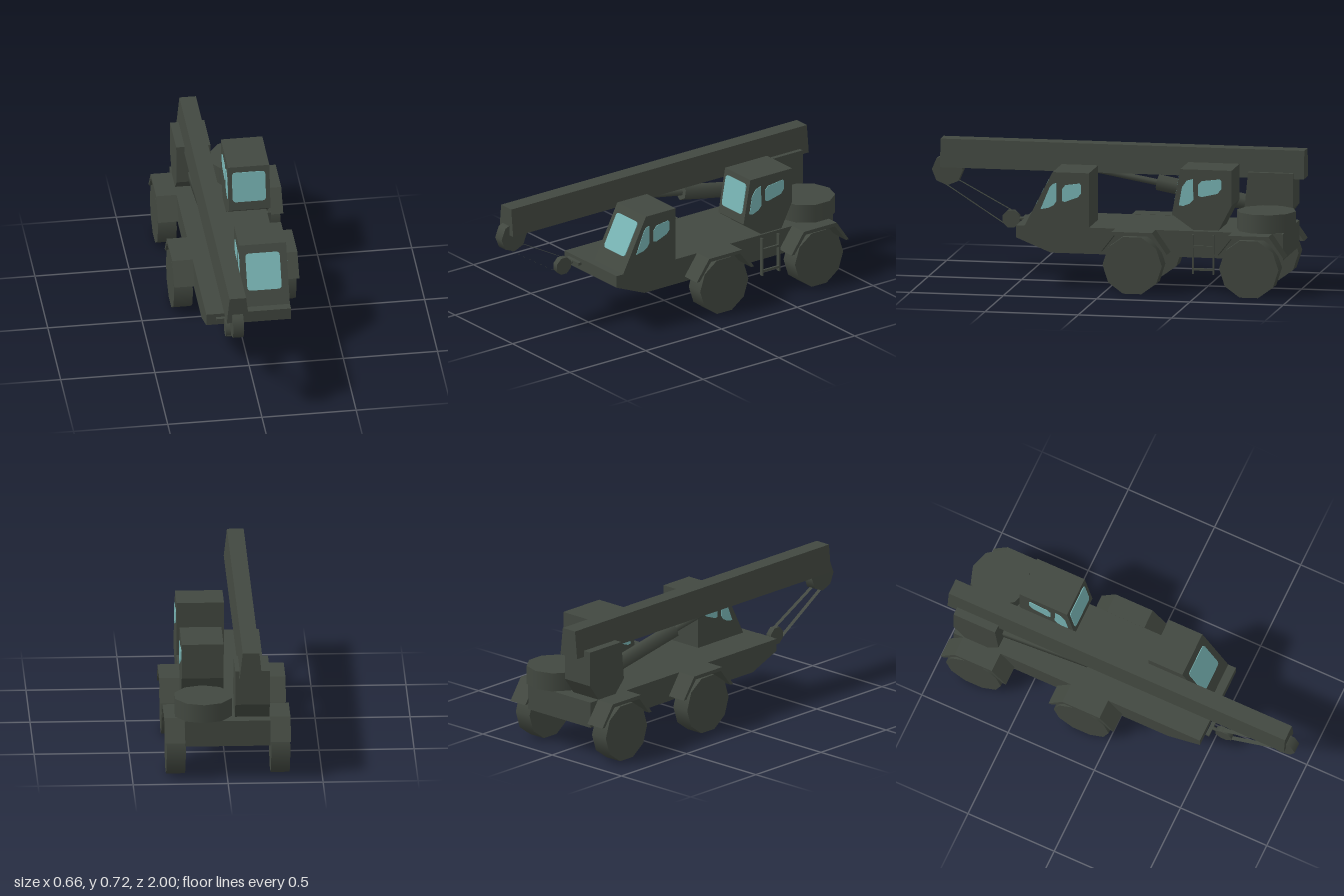
import * as THREE from 'three';

export function createModel() {
  const model = new THREE.Group();
  const paint = new THREE.MeshStandardMaterial({ color: 0x424840 });
  paint.name = 'olivePaint';
  paint.side = THREE.DoubleSide;
  const glass = new THREE.MeshStandardMaterial({ color: 0x78b4b4 });
  glass.name = 'tealGlass';

  function add(name, geometry, material = paint) {
    const mesh = new THREE.Mesh(geometry, material);
    mesh.name = name;
    model.add(mesh);
    return mesh;
  }

  // Side profile of [z, y] points, extruded across x from x0 to x1
  function profile(name, points, x0, x1, material) {
    const shape = new THREE.Shape(points.map(([z, y]) => new THREE.Vector2(z, y)));
    const g = new THREE.ExtrudeGeometry(shape, { depth: x1 - x0, bevelEnabled: false });
    g.rotateY(-Math.PI / 2).translate(x1, 0, 0);
    return add(name, g, material);
  }

  // Disc with its axle along x
  function disc(name, x0, x1, y, z, radius, sides, turn = 0) {
    const g = new THREE.CylinderGeometry(radius, radius, x1 - x0, sides, 1, false, turn);
    g.rotateZ(Math.PI / 2).translate((x0 + x1) / 2, y, z);
    return add(name, g);
  }

  // Round bar between two points
  function bar(name, a, b, radius, sides) {
    const from = new THREE.Vector3(...a), to = new THREE.Vector3(...b);
    const dir = to.clone().sub(from);
    const mesh = add(name, new THREE.CylinderGeometry(radius, radius, dir.length(), sides));
    mesh.position.copy(from).add(to).multiplyScalar(0.5);
    mesh.quaternion.setFromUnitVectors(new THREE.Vector3(0, 1, 0), dir.normalize());
  }

  function box(name, w, h, d, x, y, z) {
    add(name, new THREE.BoxGeometry(w, h, d).translate(x, y, z));
  }

  // Rounded pane lying on a sloped front face; bottom and top are [z, y]
  function windshield(name, x0, x1, bottom, top) {
    const dz = bottom[0] - top[0], dy = top[1] - bottom[1];
    const w = (x1 - x0) / 2, h = Math.hypot(dz, dy), r = 0.02;
    const s = new THREE.Shape();
    s.moveTo(-w + r, 0).lineTo(w - r, 0).quadraticCurveTo(w, 0, w, r);
    s.lineTo(w, h - r).quadraticCurveTo(w, h, w - r, h);
    s.lineTo(-w + r, h).quadraticCurveTo(-w, h, -w, h - r);
    s.lineTo(-w, r).quadraticCurveTo(-w, 0, -w + r, 0);
    const g = new THREE.ExtrudeGeometry(s, { depth: 0.004, bevelEnabled: false, curveSegments: 4 });
    g.rotateX(-Math.atan2(dz, dy)).translate((x0 + x1) / 2, bottom[1], bottom[0]);
    add(name, g, glass);
  }

  // Matching panes on both sides of a cab
  function sideWindows(name, panes, x0, x1) {
    for (const pane of panes) {
      profile(name, pane, x1, x1 + 0.003, glass);
      profile(name, pane, x0 - 0.003, x0, glass);
    }
  }

  // Chassis with undercut nose
  profile('chassis', [[0.485, 0.33], [0.485, 0.265], [0.3, 0.19], [-0.945, 0.19], [-0.945, 0.33]], -0.225, 0.225);

  // Driver cab
  profile('driverCab', [[0.44, 0.33], [0.29, 0.62], [0.095, 0.62], [0.095, 0.33]], -0.025, 0.225);
  windshield('driverWindshield', 0.005, 0.187, [0.401, 0.405], [0.311, 0.58]);
  sideWindows('driverSideWindow', [
    [[0.355, 0.42], [0.305, 0.54], [0.29, 0.557], [0.27, 0.563], [0.27, 0.465], [0.285, 0.443], [0.31, 0.43]],
    [[0.24, 0.468], [0.24, 0.53], [0.222, 0.553], [0.145, 0.564], [0.137, 0.555], [0.137, 0.51], [0.155, 0.49], [0.225, 0.463]],
  ], -0.025, 0.225);

  // Operator cab
  profile('operatorCab', [[-0.395, 0.66], [-0.35, 0.418], [-0.465, 0.338], [-0.6, 0.338], [-0.67, 0.472], [-0.67, 0.66]], 0.01, 0.23);
  windshield('operatorWindshield', 0.03, 0.207, [-0.359, 0.465], [-0.389, 0.63]);
  sideWindows('operatorSideWindow', [
    [[-0.388, 0.468], [-0.405, 0.565], [-0.43, 0.6], [-0.463, 0.61], [-0.466, 0.5], [-0.447, 0.478], [-0.41, 0.464]],
    [[-0.49, 0.522], [-0.49, 0.58], [-0.51, 0.6], [-0.605, 0.612], [-0.615, 0.605], [-0.615, 0.56], [-0.595, 0.535], [-0.51, 0.515]],
  ], 0.01, 0.23);

  // Turret under the boom and the round counterweight
  profile('turret', [[-0.705, 0.607], [-0.685, 0.4], [-0.75, 0.33], [-0.88, 0.33], [-0.945, 0.42], [-0.945, 0.607]], -0.222, -0.04);
  add('counterweight', new THREE.CylinderGeometry(0.157, 0.157, 0.1, 10).translate(0.125, 0.387, -0.837));

  // Tapered boom
  const section = new THREE.Shape([[-0.18, 0.575], [-0.06, 0.575], [-0.077, 0.725], [-0.165, 0.725]]
    .map(([x, y]) => new THREE.Vector2(x, y)));
  add('boom', new THREE.ExtrudeGeometry(section, { depth: 1.95, bevelEnabled: false }).translate(0, 0, -1));

  // Lift cylinder
  bar('liftRod', [-0.123, 0.58, 0.12], [-0.123, 0.52, -0.22], 0.017, 6);
  bar('liftBarrel', [-0.123, 0.524, -0.205], [-0.123, 0.43, -0.7], 0.043, 6);

  // Boom tip sheave, hook block and its tie-down on the nose
  disc('boomSheave', -0.151, -0.094, 0.557, 0.917, 0.083, 8);
  disc('hookBlock', -0.139, -0.107, 0.303, 0.579, 0.049, 8, Math.PI / 8);
  bar('hookShackle', [-0.123, 0.303, 0.54], [-0.123, 0.31, 0.495], 0.01, 6);
  box('tieBar', 0.11, 0.015, 0.02, -0.12, 0.31, 0.505);

  // Flat cables from sheave to hook block
  for (const [a, b] of [[[0.86, 0.5], [0.57, 0.345]], [[0.945, 0.485], [0.6, 0.265]]]) {
    const g = new THREE.PlaneGeometry(0.022, Math.hypot(a[0] - b[0], a[1] - b[1]));
    g.rotateX(Math.atan2(a[0] - b[0], a[1] - b[1]));
    g.translate(-0.123, (a[1] + b[1]) / 2, (a[0] + b[0]) / 2);
    add('cable', g);
  }

  // Wheels and angular fenders
  for (const z of [-0.155, -0.78]) {
    disc('leftWheel', 0.22, 0.32, 0.152, z, 0.159, 10);
    disc('rightWheel', -0.33, -0.23, 0.152, z, 0.159, 10);
    const arch = [[0.19, 0.217], [0.108, 0.331], [-0.108, 0.331], [-0.188, 0.217],
      [-0.17, 0.217], [-0.096, 0.312], [0.096, 0.312], [0.17, 0.217]].map(([dz, y]) => [z + dz, y]);
    profile('leftFender', arch, 0.224, 0.331);
    profile('rightFender', arch, -0.333, -0.224);
  }

  // Ladder on the left side
  for (const z of [-0.465, -0.575]) box('ladderRail', 0.022, 0.21, 0.008, 0.237, 0.21, z);
  for (const y of [0.13, 0.25]) box('ladderRung', 0.012, 0.012, 0.11, 0.24, y, -0.52);

  return model;
}
